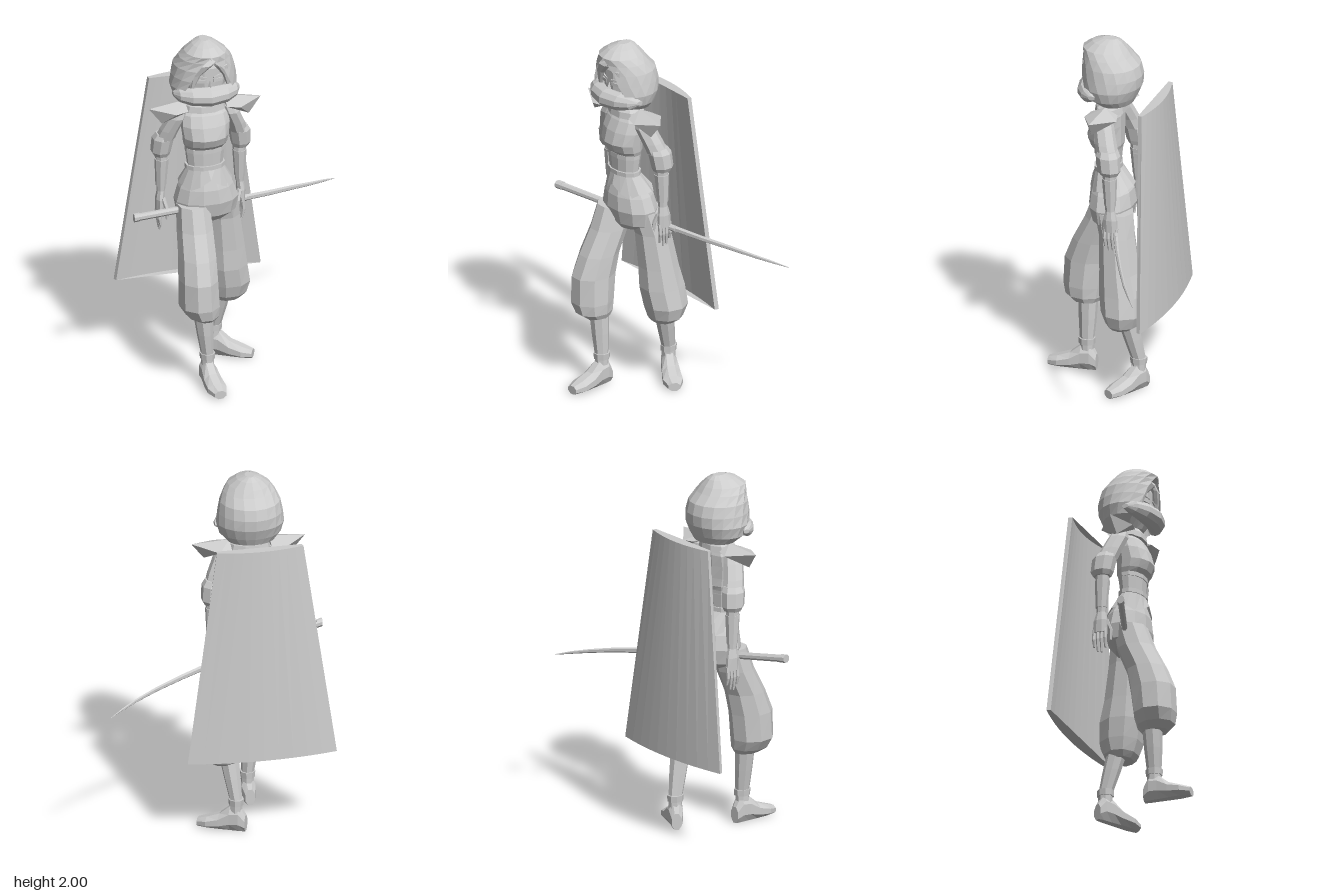
import * as THREE from 'three';
import { ConvexGeometry } from 'three/addons/geometries/ConvexGeometry.js';

const CX = -0.215; // body centre line
const clay = new THREE.MeshStandardMaterial({ color: 0xcccccc, side: THREE.DoubleSide });
clay.name = 'light grey';

// faceted surface through rows of points; rows run upward, points counter-clockwise from above
function skin(rows, closed, caps) {
  const p = [];
  const tri = (...v) => v.forEach((q) => p.push(...q));
  const n = rows[0].length;
  for (let i = 0; i < rows.length - 1; i++) {
    for (let j = 0; j < (closed ? n : n - 1); j++) {
      const k = (j + 1) % n;
      const a = rows[i][j], b = rows[i][k], c = rows[i + 1][k], d = rows[i + 1][j];
      tri(a, b, c);
      tri(a, c, d);
    }
  }
  if (caps) {
    const top = rows[rows.length - 1], low = rows[0];
    for (let j = 1; j < n - 1; j++) {
      tri(low[0], low[j + 1], low[j]);
      tri(top[0], top[j], top[j + 1]);
    }
  }
  const g = new THREE.BufferGeometry();
  g.setAttribute('position', new THREE.Float32BufferAttribute(p, 3));
  g.computeVertexNormals();
  return g;
}

// stacked elliptical rings [x, y, z, rx, rz]
function loft(rings, n = 10) {
  const up = rings[0][1] > rings[rings.length - 1][1] ? [...rings].reverse() : rings;
  return skin(up.map(([x, y, z, rx, rz]) => Array.from({ length: n }, (_, j) => {
    const a = ((j + 0.5) / n) * Math.PI * 2;
    return [x + rx * Math.sin(a), y, z + rz * Math.cos(a)];
  })), true, true);
}

// rings [x, y, z, ry, rz] stacked along x
const loftX = (rings, n) => loft(rings.map(([x, y, z, ry, rz]) => [-y, x, z, ry, rz]), n).rotateZ(-Math.PI / 2);

const flat = (g) => {
  const f = g.index ? g.toNonIndexed() : g;
  f.computeVertexNormals();
  return f;
};

export function createModel() {
  const model = new THREE.Group();
  const add = (name, geometry, parent = model) => {
    const m = new THREE.Mesh(geometry, clay);
    m.name = name;
    parent.add(m);
    return m;
  };

  // curved, tapering back cape with thickness
  const capeRow = (w, y, mid, sag) => {
    const front = [], back = [];
    for (let i = 0; i <= 10; i++) {
      const u = i / 5 - 1;
      front.push([-0.22 + u * w, y, mid + sag * u * u]);
      back.unshift([-0.22 + u * w * 1.02, y, mid - 0.022 + sag * u * u]);
    }
    return [...front, ...back];
  };
  add('cape', skin([capeRow(0.405, 0.463, -0.3, 0.043), capeRow(0.235, 1.675, -0.24, 0.036)], true, true));
  const capeEdge = (y, w, mid, sag) => {
    const r = capeRow(w, y, mid, sag);
    return skin([r.slice(0, 11), r.slice(11).reverse()], false, false);
  };
  add('capeHem', capeEdge(0.463, 0.405, -0.3, 0.043));
  add('capeTop', capeEdge(1.675, 0.235, -0.24, 0.036));

  // hood: rows [y, half width, depth, centre z, half sweep in degrees]
  const hoodRows = [
    [1.64, 0.13, 0.10, 0.01, 125], [1.68, 0.17, 0.14, 0.03, 126], [1.74, 0.186, 0.165, 0.03, 134],
    [1.8, 0.178, 0.17, 0.03, 144], [1.86, 0.166, 0.16, 0.035, 152], [1.91, 0.142, 0.135, 0.055, 166],
    [1.945, 0.115, 0.125, 0.07, 180], [1.98, 0.07, 0.085, 0.06, 180], [2.0, 0.025, 0.04, 0.045, 180],
  ];
  add('hood', skin(hoodRows.map(([y, w, d, z, sweep]) => Array.from({ length: 15 }, (_, j) => {
    const t = (1 - j / 7) * THREE.MathUtils.degToRad(sweep);
    return [CX - 0.005 + w * Math.sin(t), y, z - d * Math.cos(t)];
  })), false, false));
  add('hoodCrown', loft([[CX - 0.005, 1.985, 0.045, 0.05, 0.06], [CX - 0.005, 2, 0.045, 0.025, 0.04]], 12));

  // face, hair and muffler
  add('head', loft([[CX, 1.64, 0.04, 0.06, 0.07], [CX, 1.7, 0.05, 0.1, 0.1], [CX, 1.78, 0.05, 0.118, 0.105],
    [CX, 1.86, 0.05, 0.115, 0.105], [CX, 1.92, 0.05, 0.08, 0.08]], 12));
  for (const s of [-1, 1]) {
    const eye = add('eye', new THREE.BoxGeometry(0.05, 0.018, 0.008), model);
    eye.position.set(CX + s * 0.045, 1.79, 0.146);
    eye.rotation.y = s * 0.25;
    const brow = add('brow', new THREE.BoxGeometry(0.06, 0.008, 0.009), model);
    brow.position.set(CX + s * 0.047, 1.815, 0.147);
    brow.rotation.set(0, s * 0.25, s * 0.12);
  }
  add('nose', new ConvexGeometry([[-0.012, 1.755, 0.15], [0.012, 1.755, 0.15], [0, 1.755, 0.17], [0, 1.8, 0.15]]
    .map(([x, y, z]) => new THREE.Vector3(CX + x, y, z))));
  const lock = (...rings) => add('hairLock', loft(rings.map(([x, y, z, rx]) => [CX + x, y, z, rx, 0.014]), 6));
  lock([0.03, 1.92, 0.15, 0.03], [-0.03, 1.89, 0.168, 0.045], [-0.08, 1.83, 0.15, 0.03], [-0.1, 1.74, 0.13, 0.008]);
  lock([0.02, 1.92, 0.15, 0.03], [0.06, 1.88, 0.16, 0.035], [0.09, 1.82, 0.145, 0.02], [0.105, 1.75, 0.13, 0.006]);
  add('muffler', loftX([[-0.405, 1.71, 0.085, 0.012, 0.02], [-0.38, 1.708, 0.115, 0.036, 0.04],
    [-0.32, 1.705, 0.145, 0.05, 0.053], [-0.22, 1.703, 0.162, 0.055, 0.06], [-0.12, 1.705, 0.145, 0.05, 0.053],
    [-0.06, 1.708, 0.115, 0.036, 0.04], [-0.035, 1.71, 0.085, 0.012, 0.02]], 10));

  // torso, collar and belt
  add('neck', loft([[CX, 1.56, 0.03, 0.065, 0.05], [CX, 1.7, 0.035, 0.05, 0.05]], 8));
  add('torso', loft([[CX, 1.18, 0.045, 0.115, 0.075], [CX, 1.26, 0.05, 0.1, 0.065], [CX, 1.36, 0.047, 0.112, 0.073],
    [CX, 1.385, 0.055, 0.122, 0.09], [CX, 1.43, 0.065, 0.128, 0.1], [CX, 1.5, 0.055, 0.137, 0.09],
    [CX, 1.56, 0.04, 0.13, 0.075], [CX, 1.6, 0.03, 0.09, 0.055]], 12));
  add('collar', loft([[CX, 1.58, 0.035, 0.125, 0.085], [CX, 1.615, 0.035, 0.115, 0.08], [CX, 1.65, 0.03, 0.07, 0.06]], 10));
  for (const y of [1.25, 1.35]) add('sash', loft([[CX, y - 0.012, 0.05, 0.112, 0.074], [CX, y + 0.012, 0.05, 0.112, 0.074]], 12));
  // flared skirt with a notched hem
  const hem = Array.from({ length: 16 }, (_, j) => {
    const a = (j / 16) * Math.PI * 2;
    return [-0.206 + 0.152 * Math.sin(a), 1.135 + (j === 0 ? 0.05 : j % 4 === 2 ? -0.015 : 0.01), 0.022 + 0.118 * Math.cos(a)];
  });
  const waist = hem.map((_, j) => {
    const a = (j / 16) * Math.PI * 2;
    return [CX + 0.105 * Math.sin(a), 1.24, 0.05 + 0.068 * Math.cos(a)];
  });
  add('skirt', skin([hem, waist], true, false));

  // baggy trousers
  add('hips', loft([[-0.2, 0.92, 0.02, 0.1, 0.07], [-0.2, 0.96, 0.02, 0.165, 0.105], [-0.2, 1.04, 0.02, 0.18, 0.125],
    [-0.205, 1.12, 0.025, 0.155, 0.115], [-0.21, 1.2, 0.04, 0.115, 0.075]], 12));
  add('rightTrouserLeg', loft([[-0.26, 0.4, 0.2, 0.06, 0.075], [-0.275, 0.43, 0.21, 0.09, 0.108],
    [-0.292, 0.49, 0.212, 0.112, 0.122], [-0.295, 0.64, 0.2, 0.108, 0.128], [-0.29, 0.76, 0.165, 0.104, 0.115],
    [-0.285, 0.9, 0.1, 0.1, 0.108], [-0.285, 1.03, 0.06, 0.092, 0.1]], 9));
  add('leftTrouserLeg', loft([[-0.05, 0.37, -0.085, 0.07, 0.06], [-0.045, 0.4, -0.095, 0.105, 0.095],
    [-0.043, 0.47, -0.097, 0.125, 0.122], [-0.06, 0.58, -0.085, 0.122, 0.128], [-0.07, 0.7, -0.068, 0.113, 0.112],
    [-0.09, 0.9, -0.045, 0.1, 0.1], [-0.11, 1.03, -0.02, 0.095, 0.11]], 9));

  // shins, ankle cuffs and shoes
  const lowerLeg = (side, knee, ankle, turn) => {
    const [kx, kz] = knee, [ax, az] = ankle;
    add(side + 'Shin', loft([[ax, 0.08, az, 0.036, 0.04], [ax, 0.17, az, 0.034, 0.04],
      [(ax + kx) / 2, 0.3, (az + kz) / 2, 0.046, 0.05], [kx, 0.43, kz, 0.055, 0.056]], 8));
    add(side + 'AnkleCuff', loft([[ax, 0.15, az, 0.04, 0.046], [ax, 0.185, az, 0.043, 0.048]], 8));
    const shoe = add(side + 'Shoe', loft([[0, -0.055, -0.045, 0.03, 0.049], [0, -0.02, -0.075, 0.043, 0.081],
      [0, 0.03, -0.07, 0.046, 0.076], [0, 0.09, -0.045, 0.054, 0.049], [0, 0.16, -0.032, 0.058, 0.035],
      [0, 0.215, -0.023, 0.035, 0.025]], 8).rotateX(Math.PI / 2));
    shoe.position.set(ax, 0, az);
    shoe.rotation.y = turn;
  };
  lowerLeg('right', [-0.265, 0.185], [-0.24, 0.185], 0.06);
  lowerLeg('left', [-0.07, -0.105], [-0.1, -0.165], 1.05);

  // arms, mirrored about the body centre line
  for (const s of [-1, 1]) {
    const arm = new THREE.Group();
    arm.name = s > 0 ? 'leftArm' : 'rightArm';
    model.add(arm);
    const limb = (name, rings, n = 8) => add(name, loft(rings.map(([x, ...r]) => [CX + s * x, ...r]), n), arm);
    limb('upperSleeve', [[0.13, 1.585, 0.03, 0.04, 0.045], [0.15, 1.54, 0.025, 0.05, 0.058],
      [0.185, 1.46, 0, 0.052, 0.06], [0.205, 1.4, -0.02, 0.054, 0.062]]);
    limb('rolledSleeve', [[0.205, 1.43, -0.02, 0.05, 0.055], [0.215, 1.4, -0.025, 0.06, 0.068],
      [0.225, 1.32, -0.035, 0.055, 0.064], [0.222, 1.295, -0.035, 0.044, 0.05]]);
    limb('forearm', [[0.22, 1.33, -0.035, 0.036, 0.038], [0.217, 1.24, -0.035, 0.035, 0.037], [0.222, 1.08, -0.04, 0.023, 0.027]]);
    limb('bracer', [[0.219, 1.27, -0.035, 0.039, 0.042], [0.222, 1.11, -0.04, 0.029, 0.032]]);
    limb('palm', [[0.222, 1.09, -0.04, 0.02, 0.025], [0.228, 1.03, -0.042, 0.024, 0.04], [0.23, 0.96, -0.045, 0.02, 0.043]]);
    for (let i = 0; i < 4; i++) {
      const z = -0.012 - i * 0.022, tip = [0.87, 0.845, 0.85, 0.88][i];
      limb('finger', [[0.23, 0.98, z, 0.012, 0.011], [0.237, 0.92, z, 0.011, 0.01], [0.228, tip, z - 0.002, 0.006, 0.006]], 6);
    }
    limb('thumb', [[0.215, 1.04, -0.015, 0.014, 0.014], [0.2, 0.98, 0.005, 0.012, 0.012], [0.2, 0.92, 0.004, 0.006, 0.006]], 6);

    // pointed shoulder guard
    add('shoulderGuard', flat(new ConvexGeometry([[0.315, 1.615, 0.05], [0.245, 1.525, 0.06], [0.18, 1.595, 0.125],
      [0.18, 1.595, -0.06], [0.11, 1.6, 0.11], [0.11, 1.6, -0.04], [0.11, 1.635, 0.03]]
      .map(([x, y, z]) => new THREE.Vector3(CX + s * x, y, z)))), arm);
  }

  // sword: hilt on the right hip, curved blade trailing to the left
  add('swordHilt', loftX([[-0.645, 1.032, 0.165, 0.021, 0.019], [-0.42, 1.005, 0.085, 0.02, 0.018], [0.06, 0.945, -0.09, 0.018, 0.016]], 8));
  add('pommel', loftX([[-0.648, 1.032, 0.166, 0.024, 0.022], [-0.615, 1.029, 0.154, 0.024, 0.022]], 8));
  add('swordBlade', loftX([[0.04, 0.948, -0.083, 0.018, 0.014], [0.2, 0.925, -0.152, 0.016, 0.012], [0.35, 0.903, -0.225, 0.014, 0.01],
    [0.48, 0.878, -0.295, 0.011, 0.008], [0.57, 0.858, -0.353, 0.008, 0.006], [0.645, 0.838, -0.405, 0.002, 0.002]], 6));

  return model;
}
